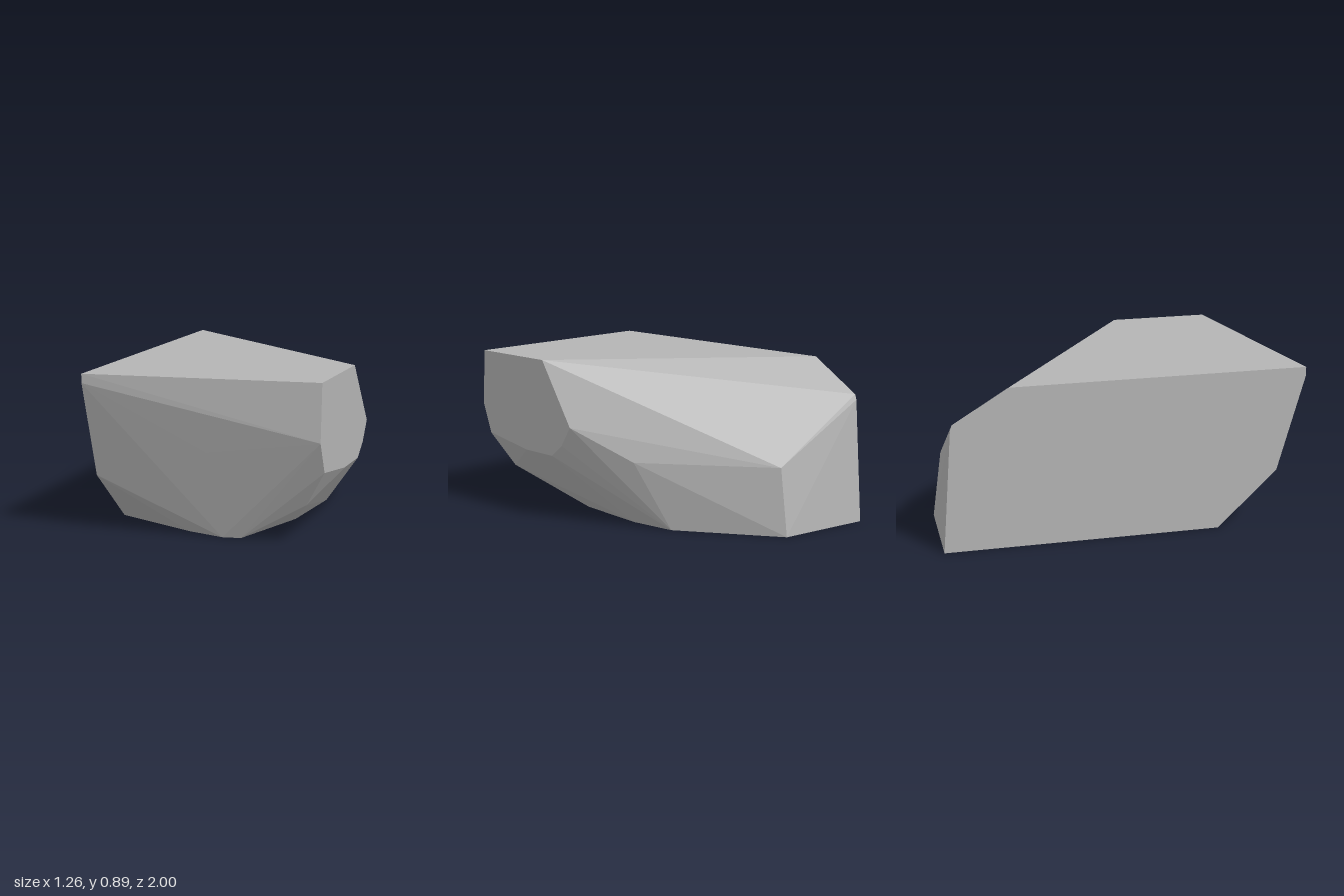
import * as THREE from 'three';
import { ConvexGeometry } from 'three/addons/geometries/ConvexGeometry.js';

export function createModel() {
  const group = new THREE.Group();
  group.name = 'rock';

  const stone = new THREE.MeshStandardMaterial({ color: 0xb4b4b4, flatShading: true });
  stone.name = 'grey stone';

  const W = 0.63; // half width
  const H = 0.89; // height of the flat top

  // Corners of the flat cuts, as [across, along] pairs
  const top = [[-W, 1], [W, 0.81], [W, 0.25], [-W, -0.64]];
  const base = [
    [-W, 0.52], [-0.16, 0.69], [0.05, 0.735], [0.15, 0.715], [0.3, 0.26],
    [0.335, -0.19], [0.3, -0.46], [-0.065, -0.98], [-W, -1],
  ];
  const plusXSide = [ // [y, z]
    [0.58, 0.83], [0.41, 0.76], [0.36, 0.41], [0.36, 0.17], [0.43, 0.08], [0.54, 0.005],
  ];
  const minusXSide = [[0.84, 1], [0.31, 0.85], [0.71, -0.94], [0.68, -0.95]]; // [y, z]

  // Corners that stand alone between the cuts
  const chips = [
    [0.01, 0.49, 0.86],   // front bulge
    [0.51, 0.21, 0.69],   // lower front corner
    [0.44, 0.37, -0.31],  // back shoulder
    [-0.065, 0.37, -0.93], // back corner
  ];

  const corners = [
    ...top.map(([x, z]) => new THREE.Vector3(x, H, z)),
    ...base.map(([x, z]) => new THREE.Vector3(x, 0, z)),
    ...plusXSide.map(([y, z]) => new THREE.Vector3(W, y, z)),
    ...minusXSide.map(([y, z]) => new THREE.Vector3(-W, y, z)),
    ...chips.map((p) => new THREE.Vector3(...p)),
  ];

  // One faceted boulder wrapped around all the corners
  const boulder = new THREE.Mesh(new ConvexGeometry(corners), stone);
  boulder.name = 'boulder';
  group.add(boulder);
  return group;
}
